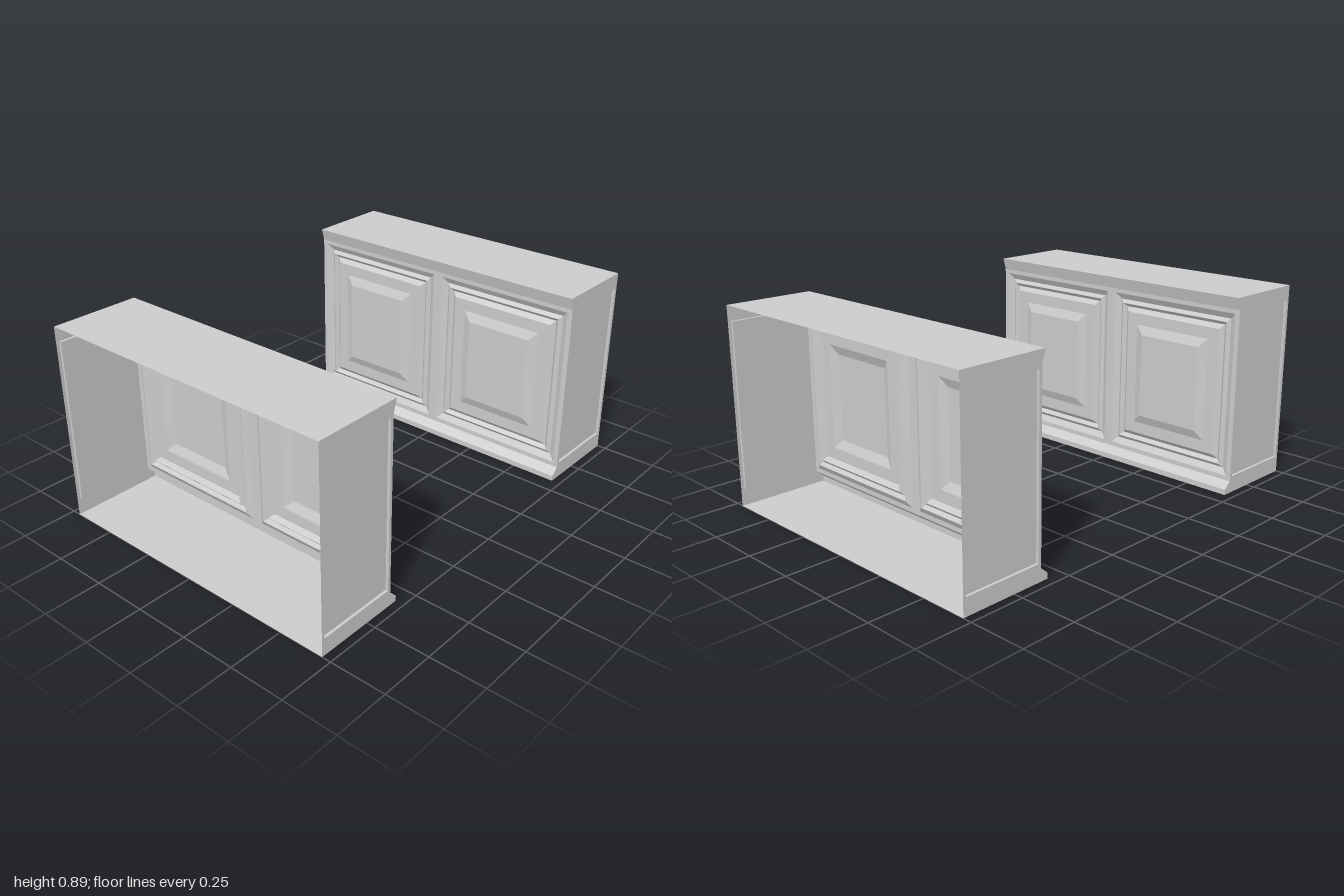
import * as THREE from 'three';

const W = 0.71;       // half width
const FACE = 0.611;   // z of the panelled face
const material = new THREE.MeshStandardMaterial({ color: 0xcccccc, side: THREE.DoubleSide, flatShading: true });

// Flat-shaded geometry from four-cornered faces
function quads(list) {
  const pos = [];
  for (const [a, b, c, d] of list) pos.push(...a, ...b, ...c, ...a, ...c, ...d);
  const g = new THREE.BufferGeometry();
  g.setAttribute('position', new THREE.Float32BufferAttribute(pos, 3));
  g.computeVertexNormals();
  return g;
}

const corners = ([x0, x1, y0, y1], inset = 0, h = 0) => [
  [x0 + inset, y0 + inset, h], [x1 - inset, y0 + inset, h],
  [x1 - inset, y1 - inset, h], [x0 + inset, y1 - inset, h],
];

// Nested rectangular steps [inset, height], closed by a flat field, facing +z
function steppedPanel(rect, steps) {
  const loops = steps.map(([inset, h]) => corners(rect, inset, h));
  const faces = [];
  for (let i = 1; i < loops.length; i++) {
    for (let k = 0; k < 4; k++) {
      const n = (k + 1) % 4;
      faces.push([loops[i - 1][k], loops[i - 1][n], loops[i][n], loops[i][k]]);
    }
  }
  faces.push(loops.at(-1));
  return quads(faces);
}

// Flat sheet with rectangular openings
function sheet(outline, holes) {
  const toVec = (p) => new THREE.Vector2(p[0], p[1]);
  const shape = new THREE.Shape(outline.map(toVec));
  for (const r of holes) shape.holes.push(new THREE.Path(corners(r).map(toVec)));
  return new THREE.ShapeGeometry(shape);
}

function add(group, name, geometry) {
  const mesh = new THREE.Mesh(geometry, material);
  mesh.name = name;
  group.add(mesh);
}

function createCabinet() {
  const cabinet = new THREE.Group();

  // Profile as [z, y]: bottom, plinth, face, cornice, top; the wall side stays open
  const profile = [[1, 0], [0.576, 0], [0.576, 0.025], [FACE, 0.055],
    [FACE, 0.835], [0.595, 0.89], [1, 0.89]];
  const strip = (from, to) => {
    const faces = [];
    for (let i = from; i < to; i++) {
      const [z0, y0] = profile[i], [z1, y1] = profile[i + 1];
      faces.push([[W, y0, z0], [-W, y0, z0], [-W, y1, z1], [W, y1, z1]]);
    }
    return quads(faces);
  };
  add(cabinet, 'bottomAndPlinth', strip(0, 3));
  add(cabinet, 'corniceAndTop', strip(4, 6));

  // Face frame with two moulded, raised panels
  const openings = [[-0.687, -0.023, 0.076, 0.816], [0.023, 0.687, 0.076, 0.816]];
  const moulding = [[0, 0], [0.028, -0.017], [0.044, -0.004], [0.06, -0.019],
    [0.08, -0.002], [0.134, -0.002], [0.175, 0.015]];
  const toFace = (g) => g.rotateY(Math.PI).translate(0, 0, FACE);
  add(cabinet, 'faceFrame', toFace(sheet(
    [[-W, 0.055], [W, 0.055], [W, 0.835], [-W, 0.835]], openings)));
  openings.forEach((r, i) =>
    add(cabinet, 'raisedPanel' + (i + 1), toFace(steppedPanel(r, moulding))));

  // Sides with a shallow recessed field
  for (const s of [1, -1]) {
    const toSide = (g) => g.rotateY(s * Math.PI / 2).translate(s * W, 0, 0);
    const range = [-s * 0.985, -s * 0.625].sort((a, b) => a - b);
    const field = [...range, 0.076, 0.82];
    const name = s > 0 ? 'left' : 'right';
    add(cabinet, name + 'SideFrame', toSide(sheet(profile.map(([z, y]) => [-s * z, y]), [field])));
    add(cabinet, name + 'SidePanel', toSide(steppedPanel(field, [[0, 0], [0, -0.012]])));
  }
  return cabinet;
}

export function createModel() {
  const model = new THREE.Group();
  model.name = 'facingCabinets';
  // Two identical cabinets facing each other
  ['frontCabinet', 'backCabinet'].forEach((name, i) => {
    const cabinet = createCabinet();
    cabinet.name = name;
    cabinet.rotation.y = i * Math.PI;
    model.add(cabinet);
  });
  return model;
}
